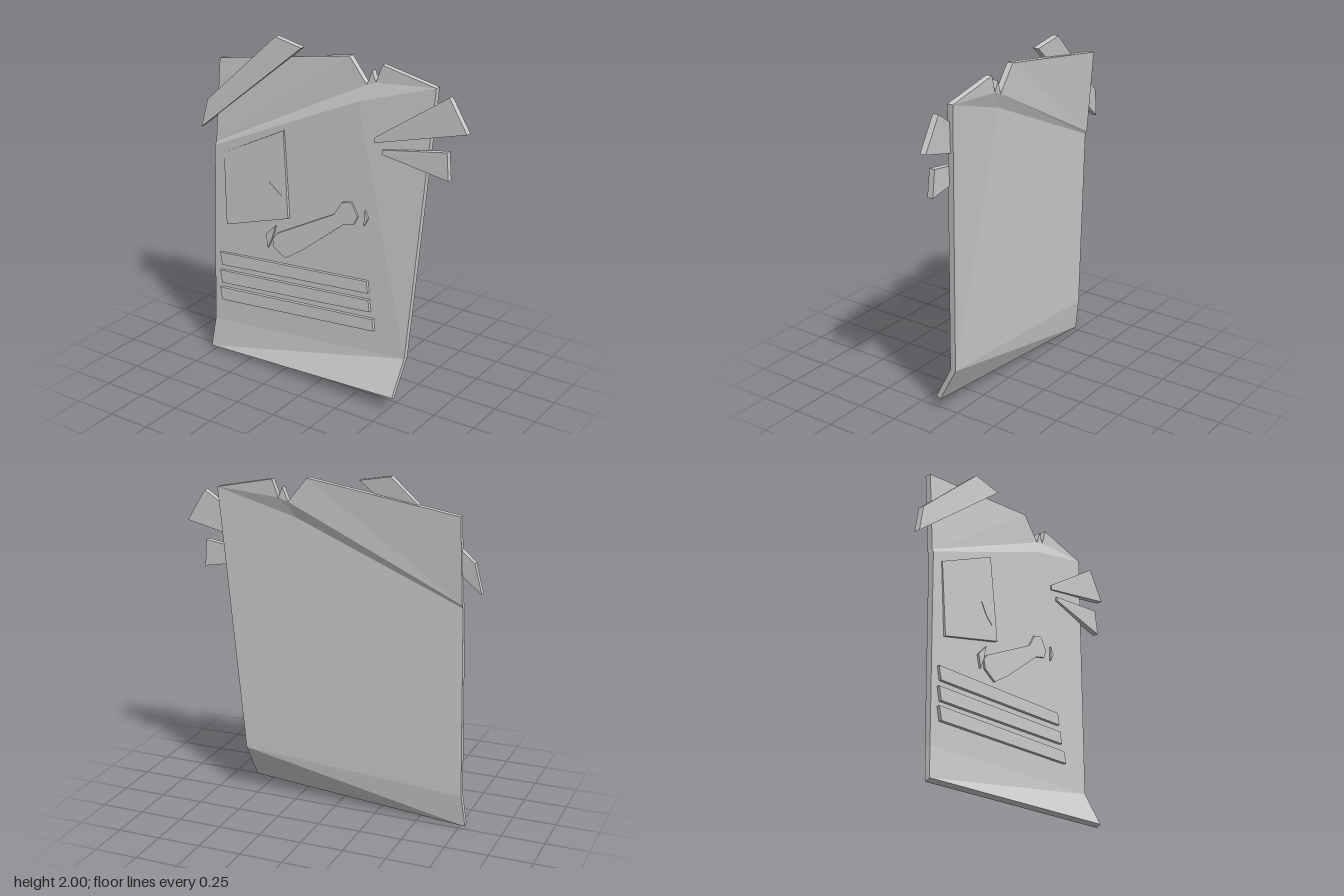
import * as THREE from 'three';

const material = new THREE.MeshStandardMaterial({ color: 0xcccccc, flatShading: true });

// Solid slab: front corners run counter-clockwise; back(p) gives each rear corner.
function slab(name, front, rim, tris, back) {
  const rear = front.map(back), pos = [];
  const tri = (a, b, c) => pos.push(...a, ...b, ...c);
  for (const [a, b, c] of tris) {
    tri(front[a], front[b], front[c]);
    tri(rear[a], rear[c], rear[b]);
  }
  for (let a = 0; a < rim; a++) {
    const b = (a + 1) % rim;
    tri(front[a], rear[a], rear[b]);
    tri(front[a], rear[b], front[b]);
  }
  const g = new THREE.BufferGeometry();
  g.setAttribute('position', new THREE.Float32BufferAttribute(pos, 3));
  g.computeVertexNormals();
  const mesh = new THREE.Mesh(g, material);
  mesh.name = name;
  return mesh;
}

// Flat-outlined piece, triangulated automatically in x and y.
function piece(name, points, depth) {
  const flat = points.map(p => new THREE.Vector2(p[0], p[1]));
  if (THREE.ShapeUtils.area(flat) < 0) { points.reverse(); flat.reverse(); }
  const tris = THREE.ShapeUtils.triangulateShape(flat, []);
  return slab(name, points, points.length, tris, p => [p[0], p[1], p[2] - depth]);
}

// Piece lying on the main face of the sheet, standing out by a small height.
const sheetZ = (x, y) => 0.032 - 0.023 * x - 0.041 * (y - 0.2) - 0.011;
const relief = (name, pts, height = 0.02) =>
  piece(name, pts.map(([x, y]) => [x, y, sheetZ(x, y) + height]), height + 0.012);

export function createModel() {
  const group = new THREE.Group();
  group.name = 'tornPoster';

  // Folded sheet: 13 rim corners, then the inner end of the crease
  const corners = [
    [-0.78, 0.02, 0.06], [0.54, 0.098, 0.115],                       // 0-1 bottom edge
    [0.55, 0.30, 0.005], [0.65, 1.87, -0.083],                       // 2-3 right edge
    [0.32, 1.94, -0.085], [0.285, 1.84, -0.079], [0.26, 1.90, -0.08], // 4-6 tear
    [0.23, 1.82, -0.075], [0.12, 1.96, -0.075],                      // 7-8 tear
    [-0.735, 1.82, -0.045], [-0.745, 1.33, -0.003],                  // 9-10 upper left
    [-0.747, 1.31, 0.008], [-0.76, 0.20, 0.038],                     // 11-12 left edge
    [0.20, 1.73, -0.042],                                            // 13 crease end
  ];
  const faces = [
    [0, 1, 2], [0, 2, 12],                         // bottom flap
    [12, 2, 13], [12, 13, 11],                     // main face
    [2, 3, 13], [13, 3, 5], [3, 4, 5], [13, 5, 7], [5, 6, 7],
    [11, 13, 7], [11, 7, 10],                      // crease
    [10, 7, 8], [10, 8, 9],                        // folded-back top
  ];
  group.add(slab('sheet', corners, 13, faces, ([x, y, z]) =>
    y < 0.15 ? [x, y - 0.015, z - 0.027] : [x, y, z - 0.035]));

  // Tape strips holding the corners
  group.add(piece('leftTape', [
    [-0.85, 1.40, 0.0], [-0.17, 1.965, -0.04], [-0.35, 2.0, -0.05], [-0.81, 1.57, -0.015],
  ], 0.036));
  group.add(piece('upperRightTape', [
    [0.31, 1.52, -0.03], [0.85, 1.66, -0.062], [0.74, 1.84, -0.062], [0.31, 1.55, -0.032],
  ], 0.036));
  group.add(piece('lowerRightTape', [
    [0.36, 1.465, -0.028], [0.765, 1.395, -0.035], [0.75, 1.55, -0.04], [0.36, 1.49, -0.03],
  ], 0.034));

  // Raised picture panel with a small mark
  group.add(relief('picturePanel', [[-0.66, 0.84], [-0.23, 0.97], [-0.27, 1.485], [-0.68, 1.28]]));
  group.add(relief('pictureMark', [[-0.32, 1.09], [-0.275, 1.05], [-0.275, 1.10], [-0.36, 1.165]], 0.023));

  // Three raised stripes
  const stripes = [
    [0.35, 0.425, 0.355], [0.46, 0.535, 0.325], [0.575, 0.645, 0.31],
  ];
  for (const [yl, yr, xr] of stripes)
    group.add(relief('stripe', [[-0.695, yl], [xr, yr], [xr - 0.01, yr + 0.07], [-0.71, yl + 0.078]]));

  // Raised club-shaped emblem and its loose flakes
  group.add(relief('emblem', [
    [-0.33, 0.77], [-0.25, 0.72], [-0.13, 0.80], [0.13, 1.01], [0.20, 1.03], [0.225, 1.08],
    [0.18, 1.155], [0.12, 1.14], [0.07, 1.06], [-0.31, 0.86], [-0.34, 0.82],
  ], 0.013));
  group.add(relief('lowerFlake', [[-0.37, 0.76], [-0.34, 0.83], [-0.32, 0.905], [-0.385, 0.84]], 0.015));
  group.add(relief('upperFlake', [[0.265, 1.035], [0.29, 1.08], [0.27, 1.125]], 0.015));
  return group;
}
